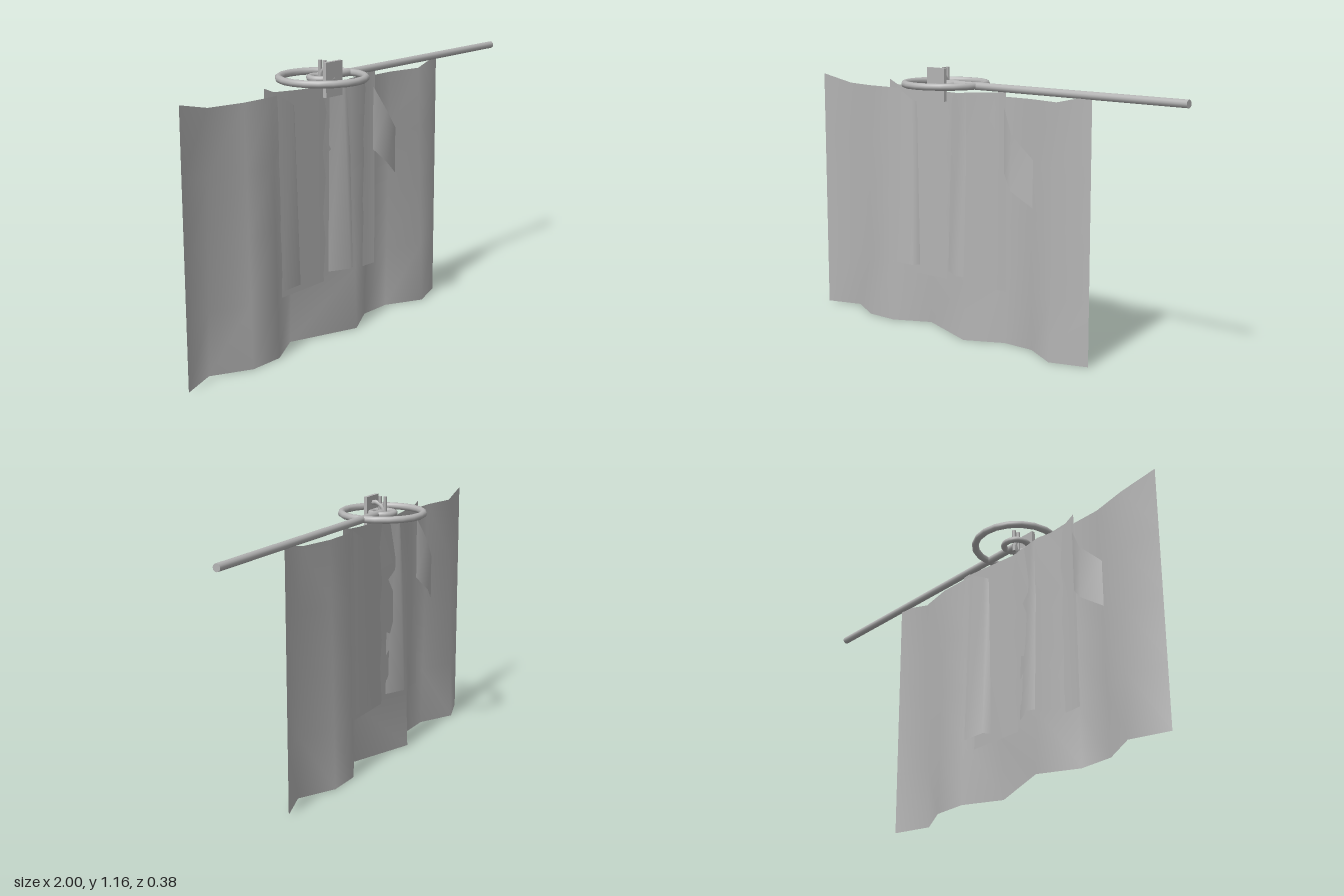
import * as THREE from 'three';

const CX = -0.22; // everything hangs around this vertical axis

export function createModel() {
  const model = new THREE.Group();
  const metal = new THREE.MeshStandardMaterial({ color: 0xb4b4b4 });
  metal.name = 'grey';
  metal.side = THREE.DoubleSide;

  function add(parent, name, geometry, x = 0, y = 0, z = 0) {
    const mesh = new THREE.Mesh(geometry, metal);
    mesh.name = name;
    mesh.position.set(x, y, z);
    parent.add(mesh);
    return mesh;
  }

  // Thin cloth between a lower and an upper edge with matching points
  function cloth(lower, upper, rows = 1) {
    const pos = [], index = [], n = lower.length;
    for (let r = 0; r <= rows; r++) {
      for (let i = 0; i < n; i++) {
        for (let k = 0; k < 3; k++) pos.push(THREE.MathUtils.lerp(lower[i][k], upper[i][k], r / rows));
      }
    }
    for (let r = 0; r < rows; r++) {
      for (let i = 0; i < n - 1; i++) {
        const a = r * n + i, b = a + 1, c = a + n, d = c + 1;
        index.push(a, b, d, a, d, c);
      }
    }
    const g = new THREE.BufferGeometry();
    g.setAttribute('position', new THREE.Float32BufferAttribute(pos, 3));
    g.setIndex(index);
    g.computeVertexNormals();
    return g;
  }

  // Wide wavy curtain, folds flattening towards the top: x, fold depth, top height
  const folds = [
    [-1, 0, 1.09], [-0.84, -0.055, 1.055], [-0.68, 0.03, 1.055], [-0.53, 0.03, 1.055],
    [-0.37, -0.055, 1.055], [-0.07, 0.055, 1.055], [0.09, -0.03, 1.055],
    [0.24, -0.03, 1.055], [0.4, 0.055, 1.055], [0.56, 0, 1.09],
  ];
  add(model, 'curtain', cloth(
    folds.map(([x, z]) => [x, 0, z]),
    folds.map(([x, z, y]) => [x, y, z * 0.36]), 4));

  // Flat inner panel through the middle of the folds
  add(model, 'innerPanel', cloth(
    [[-0.56, 0.235, 0], [-0.51, 0.235, 0.004], [-0.22, 0.235, 0], [0.07, 0.235, -0.004], [0.12, 0.235, 0]],
    [[-0.56, 1.09, 0], [-0.51, 1.07, 0.004], [-0.22, 1.05, 0], [0.07, 1.07, -0.004], [0.12, 1.09, 0]]));

  // Side flap and two raised folds, repeated half a turn round on the back
  for (const side of ['front', 'back']) {
    const half = new THREE.Group();
    half.name = side + 'Drape';
    half.position.x = CX;
    if (side === 'back') half.rotation.y = Math.PI;
    model.add(half);

    add(half, 'sideFlap', cloth(
      [[0.11, 0.74, 0], [0.17, 0.675, 0.03], [0.265, 0.61, 0]],
      [[0.11, 1.01, 0], [0.17, 0.905, 0.024], [0.265, 0.81, 0]]), -CX);
    add(half, 'outerFold', cloth(
      [[-0.51, 0.275, 0.035], [-0.4, 0.275, 0.032], [-0.38, 0.275, 0]],
      [[-0.5, 1.06, 0.014], [-0.41, 1.01, 0.014], [-0.39, 1.0, 0]]), -CX);
    add(half, 'innerFold', cloth(
      [[-0.2, 0.275, 0.01], [-0.11, 0.275, 0.055], [-0.05, 0.275, 0.03]],
      [[-0.18, 1.05, 0.004], [-0.11, 1.05, 0.02], [-0.06, 1.05, 0.012]]), -CX);
  }

  // Long rod from the hub out to the side
  const rod = add(model, 'rod', new THREE.CylinderGeometry(0.016, 0.016, 1.21, 12), 0.395, 1.09, 0);
  rod.rotation.z = Math.PI / 2;

  // Level rings round the hub
  for (const [name, radius, tube] of [['largeRing', 0.175, 0.015], ['smallRing', 0.052, 0.013]]) {
    const ring = add(model, name, new THREE.TorusGeometry(radius, tube, 10, 20), CX, 1.09, 0);
    ring.rotation.x = Math.PI / 2;
  }

  // Mounting plate with a curved bracket behind it
  add(model, 'plate', new THREE.BoxGeometry(0.1, 0.14, 0.016), CX, 1.09, 0.055);
  const bracket = new THREE.CatmullRomCurve3([
    [1.13, 0.05], [1.132, 0.03], [1.118, 0.005], [1.09, -0.008],
    [1.062, 0.005], [1.048, 0.03], [1.05, 0.05],
  ].map(([y, z]) => new THREE.Vector3(0, y, z)));
  add(model, 'bracket', new THREE.TubeGeometry(bracket, 20, 0.01, 8), CX);

  // Pair of upright prongs gripping the hub
  for (const s of [-1, 1]) {
    add(model, 'prong', new THREE.CylinderGeometry(0.008, 0.008, 0.1, 8), CX, 1.11, s * 0.012);
  }
  return model;
}
